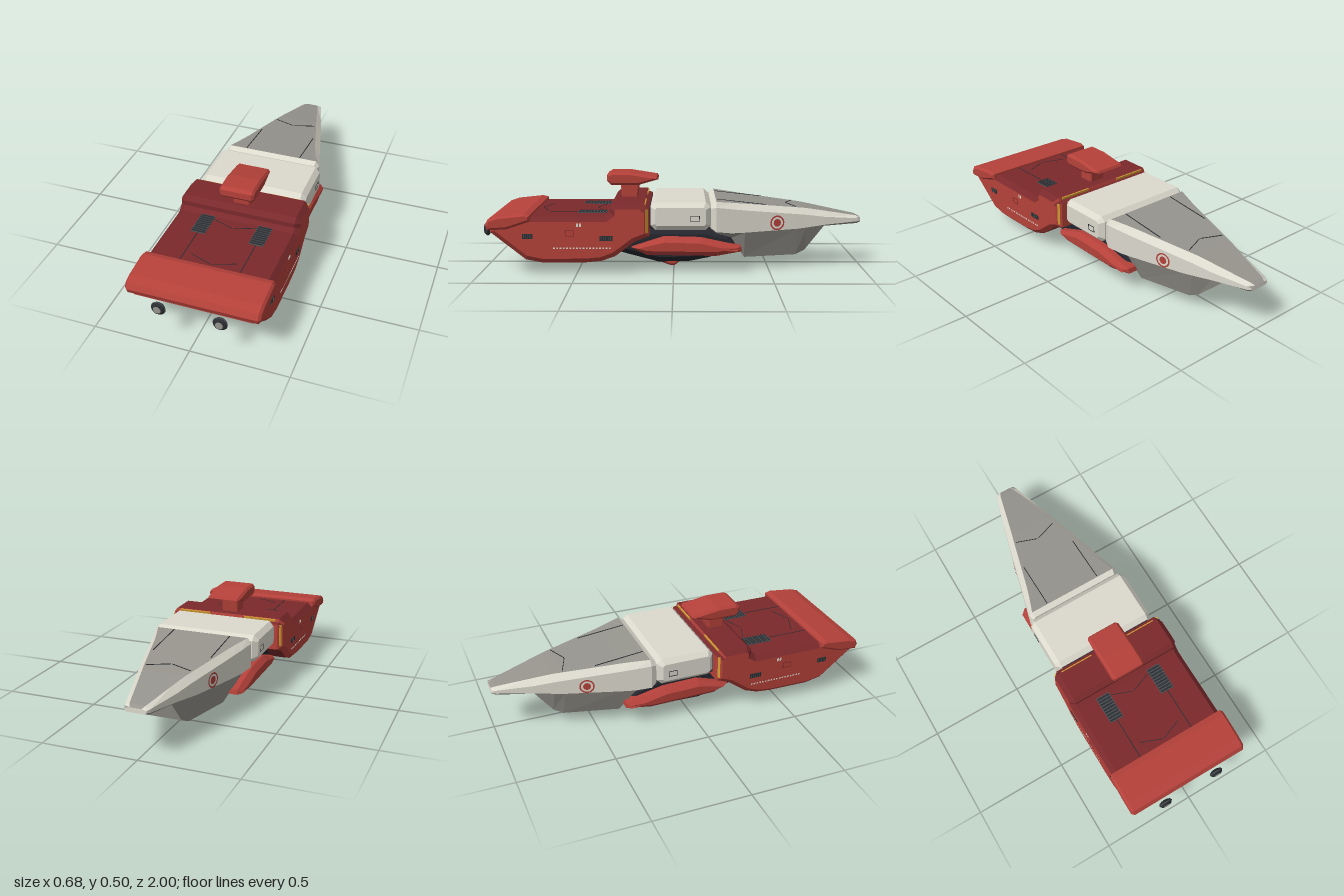
import * as THREE from 'three';

const mat = (name, color) => Object.assign(new THREE.MeshStandardMaterial({ color }), { name });

export function createModel() {
  const red = mat('red', 0xb5413a), darkRed = mat('dark red', 0x7a292b);
  const light = mat('light grey', 0xdcd9cd), grey = mat('mid grey', 0x96948d);
  const dark = mat('dark underbody', 0x25262e), vent = mat('vent black', 0x2a2d31);
  const yellow = mat('yellow', 0xd7a033), steel = mat('steel', 0x4b5053);
  const root = new THREE.Group();

  function add(name, geo, material, x = 0, y = 0, z = 0) {
    const m = new THREE.Mesh(geo, material);
    m.name = name;
    m.position.set(x, y, z);
    root.add(m);
    return m;
  }
  const box = (name, material, size, pos) => add(name, new THREE.BoxGeometry(...size), material, ...pos);

  // side profile of [z, y] points, extruded across x with chamfered flanks
  function prism(profile, halfWidth, bevel) {
    const shape = new THREE.Shape(profile.map(p => new THREE.Vector2(...p)));
    const geo = new THREE.ExtrudeGeometry(shape, {
      depth: 2 * (halfWidth - bevel), bevelEnabled: true, bevelSegments: 1,
      bevelThickness: bevel, bevelSize: bevel, bevelOffset: -bevel,
    });
    return geo.translate(0, 0, bevel - halfWidth).rotateY(-Math.PI / 2);
  }

  // give the second material to triangles whose normal and height pass a test
  function paint(geo, test) {
    const n = geo.attributes.normal, p = geo.attributes.position;
    geo.clearGroups();
    for (let i = 0; i < p.count; i += 3) {
      const y = (p.getY(i) + p.getY(i + 1) + p.getY(i + 2)) / 3;
      geo.addGroup(i, 3, test(Math.abs(n.getX(i)), n.getY(i), n.getZ(i), y) ? 1 : 0);
    }
    return geo;
  }

  // rear hull with raised shoulder; deck and underside are darker
  const hull = prism([
    [0.94, 0.22], [0.94, 0.27], [0.90, 0.302], [0.35, 0.302], [0.325, 0.32], [0.325, 0.345], [0.30, 0.368],
    [0.15, 0.368], [0.146, 0.35], [0.125, 0.343], [0.125, 0.20], [0.20, 0.17], [0.30, 0.095], [0.37, 0.07],
    [0.45, 0.062], [0.67, 0.06], [0.76, 0.078],
  ], 0.325, 0.025);
  const hullDark = (nx, ny, nz, y) => (y > 0.28 && (ny > 0.3 || nz > 0.5)) || (nx < 0.1 && ny < -0.5);
  add('hull', paint(hull, hullDark), [red, darkRed]);

  // spoiler across the engine end
  add('spoiler', prism([
    [0.96, 0.26], [0.945, 0.29], [0.90, 0.305], [0.76, 0.32], [0.73, 0.312],
    [0.73, 0.28], [0.85, 0.24], [0.95, 0.234],
  ], 0.34, 0.012), red);

  // bridge on its neck
  add('bridgeNeck', prism([[0.28, 0.36], [0.285, 0.44], [0.185, 0.44], [0.195, 0.36]], 0.046, 0.006), red);
  add('bridgePod', prism([
    [0.355, 0.455], [0.355, 0.488], [0.335, 0.5], [0.23, 0.5], [0.09, 0.478], [0.083, 0.465], [0.19, 0.434], [0.335, 0.434],
  ], 0.092, 0.012), red);

  // ventral pod
  add('ventralPod', prism([
    [0.12, 0.055], [-0.02, 0.055], [-0.03, 0.02], [-0.005, 0], [0.02, 0], [0.11, 0.032],
  ], 0.092, 0.01), red);

  // dark belly and red side nacelles
  add('underbody', prism([
    [0.30, 0.10], [0.27, 0.19], [0.12, 0.222], [-0.18, 0.222], [-0.29, 0.19], [-0.35, 0.12], [-0.18, 0.065],
    [-0.08, 0.045], [0.08, 0.042],
  ], 0.215, 0.03), dark);
  for (const s of [1, -1]) {
    const nacelle = prism([
      [0.22, 0.13], [0.05, 0.185], [-0.14, 0.18], [-0.35, 0.135], [-0.355, 0.11], [-0.22, 0.085], [0.14, 0.09],
    ], 0.055, 0.025);
    add('nacelle', nacelle, red, s * 0.215);
  }

  // middle cargo block and its joints
  add('cargoBlock', prism([
    [0.12, 0.25], [0.12, 0.345], [0.095, 0.37], [-0.165, 0.37], [-0.19, 0.345], [-0.19, 0.25], [-0.165, 0.225], [0.095, 0.225],
  ], 0.29, 0.025), light);
  box('hullJoint', dark, [0.52, 0.11, 0.08], [0, 0.285, 0.13]);
  box('noseJoint', grey, [0.46, 0.1, 0.08], [0, 0.285, -0.2]);

  // tapered nose: z, top width, top y, side width, shoulder y, keel line y, bottom width, bottom y
  const sections = [
    [-0.192, 0.245, 0.355, 0.26, 0.335, 0.235, 0.25, 0.228],
    [-0.22, 0.25, 0.37, 0.27, 0.342, 0.215, 0.245, 0.205],
    [-0.30, 0.222, 0.361, 0.249, 0.331, 0.205, 0.205, 0.175],
    [-0.37, 0.2, 0.353, 0.23, 0.322, 0.205, 0.175, 0.065],
    [-0.65, 0.126, 0.323, 0.157, 0.291, 0.213, 0.105, 0.065],
    [-0.70, 0.112, 0.317, 0.143, 0.285, 0.217, 0.09, 0.088],
    [-0.80, 0.086, 0.299, 0.116, 0.27, 0.227, 0.08, 0.215],
    [-0.98, 0.04, 0.266, 0.064, 0.254, 0.237, 0.055, 0.226],
    [-1.0, 0.03, 0.257, 0.054, 0.25, 0.24, 0.045, 0.233],
  ];
  const pts = [], idx = [];
  for (const [z, wt, yt, wo, ys, ym, wb, yb] of sections) {
    const half = [[wt, yt], [wo, ys], [wo, ym], [wb, yb]];
    const ring = [...half, ...half.map(([x, y]) => [-x, y]).reverse()];
    ring.forEach(([x, y]) => pts.push(x, y, z));
  }
  for (let r = 0; r < sections.length - 1; r++) {
    for (let i = 0; i < 8; i++) {
      const a = r * 8 + i, b = r * 8 + (i + 1) % 8;
      idx.push(a, b, a + 8, b, b + 8, a + 8);
    }
  }
  const last = (sections.length - 1) * 8;
  for (let i = 1; i < 7; i++) idx.push(0, i + 1, i, last, last + i, last + i + 1);
  let nose = new THREE.BufferGeometry();
  nose.setAttribute('position', new THREE.Float32BufferAttribute(pts, 3));
  nose.setIndex(idx);
  nose = nose.toNonIndexed();
  nose.computeVertexNormals();
  // roof and lower flanks are the darker grey
  add('nose', paint(nose, (nx, ny) => ny > 0.9 || (nx > 0.3 && ny < -0.05)), [light, grey]);

  for (const s of [1, -1]) {
    // engine nozzle: dark dish, pale rim and core
    const dish = [[0, 0], [0.016, 0], [0.032, 0.006], [0.036, 0.014], [0.034, 0.02], [0.024, 0.03], [0, 0.03]];
    const nozzle = new THREE.LatheGeometry(dish.map(p => new THREE.Vector2(...p)), 20).rotateX(Math.PI / 2);
    add('nozzle', nozzle, vent, s * 0.155, 0.212, 0.968);
    add('nozzleRim', new THREE.TorusGeometry(0.0345, 0.003, 6, 20), steel, s * 0.155, 0.212, 0.983);
    add('nozzleCore', new THREE.CylinderGeometry(0.019, 0.02, 0.004, 16).rotateX(Math.PI / 2), grey, s * 0.155, 0.212, 0.998);

    // slatted deck vents
    box('deckVent', steel, [0.076, 0.006, 0.15], [s * 0.155, 0.303, 0.425]);
    for (let i = 0; i < 9; i++) box('deckSlat', vent, [0.07, 0.004, 0.010], [s * 0.155, 0.306, 0.36 + i * 0.0163]);

    // slatted side vents
    for (const [z, y, w] of [[0.745, 0.202, 0.052], [0.345, 0.193, 0.066]]) {
      box('sideVent', vent, [0.004, 0.026, w], [s * 0.325, y, z]);
      for (let i = -2; i <= 2; i++) box('sideSlat', steel, [0.002, 0.022, 0.003], [s * 0.327, y, z + i * w / 5.5]);
    }

    // row of side windows and a signal light
    for (let i = 0; i < 18; i++) box('window', light, [0.002, 0.008, 0.009], [s * 0.325, 0.142, 0.325 + i * 0.0168]);
    for (const z of [0.475, 0.49]) box('signalLight', light, [0.002, 0.018, 0.009], [s * 0.325, 0.26, z]);

    // hatch outlines
    for (const [material, x, y, z] of [[vent, 0.29, 0.288, -0.11], [darkRed, 0.325, 0.218, 0.53]]) {
      for (const d of [-1, 1]) {
        box('hatchEdge', material, [0.003, 0.003, 0.045], [s * x, y + d * 0.014, z]);
        box('hatchEdge', material, [0.003, 0.03, 0.003], [s * x, y, z + d * 0.022]);
      }
    }

    // yellow warning strips on the hull's stepped end
    box('topStrip', yellow, [0.18, 0.013, 0.006], [s * 0.19, 0.3585, 0.1475]).rotation.x = -0.2;
    box('sideStrip', yellow, [0.005, 0.12, 0.013], [s * 0.3135, 0.28, 0.1365]).rotation.y = s * Math.PI / 4;

    // panel seams
    box('deckSeam', vent, [0.004, 0.003, 0.23], [s * 0.155, 0.302, 0.615]);
    const seam = box('noseSeam', vent, [0.004, 0.003, 0.26], [s * 0.155, 0.356, -0.355]);
    seam.rotation.x = -0.108;
    for (const [y, z, tilt] of [[0.302, 0.685, 0], [0.302, 0.39, 0], [0.327, -0.625, -0.108]]) {
      const chevron = box('chevronSeam', vent, [0.12, 0.003, 0.003], [s * 0.06, y, z]);
      chevron.rotation.set(tilt, s * 0.36, 0);
    }

    // plain round marking on each nose flank
    const turn = s * (Math.PI / 2 + 0.255);
    for (const geo of [new THREE.RingGeometry(0.031, 0.039, 28), new THREE.CircleGeometry(0.02, 20)]) {
      add('noseMarking', geo, red, s * 0.189, 0.25, -0.541).rotation.y = turn;
    }
  }
  return root;
}
